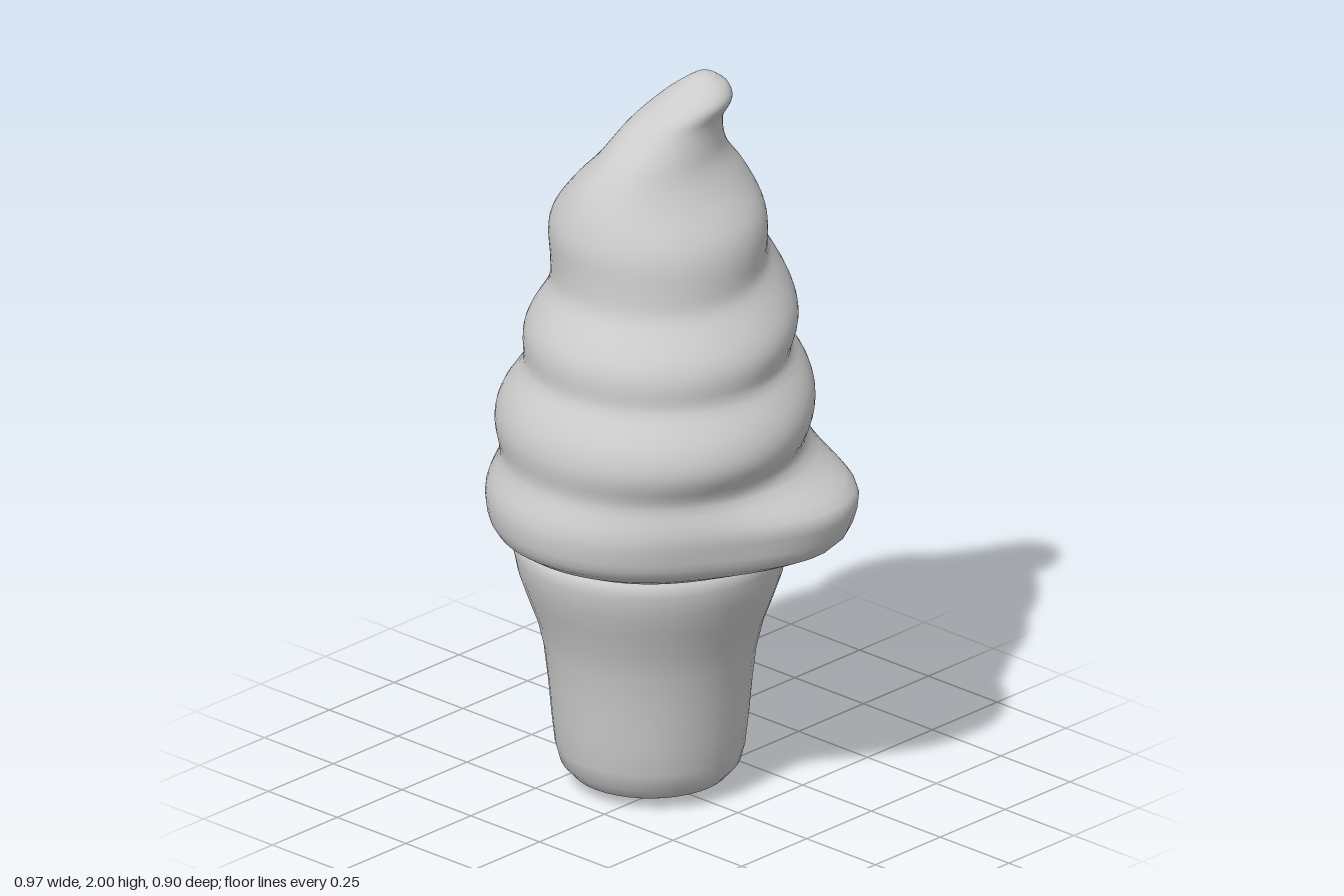
import * as THREE from 'three';

const material = new THREE.MeshStandardMaterial({ color: 0xcccccc, side: THREE.DoubleSide });
const { smoothstep, clamp } = THREE.MathUtils;

// Smooth interpolation of column c in rows [y, a, b, ...]
function sample(rows, y, c) {
  const last = rows.length - 1;
  let i = 0;
  while (i < last - 1 && y > rows[i + 1][0]) i++;
  const slope = (k) => {
    const a = rows[Math.max(k - 1, 0)], b = rows[Math.min(k + 1, last)];
    return (b[c] - a[c]) / (b[0] - a[0]);
  };
  const p = rows[i], q = rows[i + 1], h = q[0] - p[0];
  const t = clamp((y - p[0]) / h, 0, 1), s = 1 - t;
  return p[c] * (1 + 2 * t) * s * s + slope(i) * h * t * s * s
    + q[c] * (1 + 2 * s) * t * t - slope(i + 1) * h * s * t * t;
}

// Envelope of the swirl: y, -x side, +x side, front, back
const envelope = [
  [0.72, -0.37, 0.28, 0.35, -0.33],
  [0.76, -0.45, 0.33, 0.43, -0.385],
  [0.84, -0.485, 0.355, 0.455, -0.43],
  [0.95, -0.487, 0.38, 0.445, -0.435],
  [1.07, -0.48, 0.4, 0.425, -0.415],
  [1.3, -0.42, 0.325, 0.345, -0.4],
  [1.5, -0.385, 0.24, 0.265, -0.385],
  [1.62, -0.37, 0.19, 0.24, -0.365],
  [1.72, -0.3, 0.115, 0.205, -0.315],
  [1.8, -0.22, 0.065, 0.14, -0.255],
  [1.88, -0.175, 0.045, 0.045, -0.235],
  [1.94, -0.13, 0.06, -0.05, -0.237],
  [1.975, -0.09, 0.035, -0.11, -0.225],
  [1.995, -0.06, -0.005, -0.15, -0.2],
];

// Height to number of turns of the spiral groove
const turns = [[0.7, -1], [0.95, 0], [1.2, 1], [1.42, 2], [1.76, 3], [2.1, 4]];

// Spiral ice cream: stacked cross-sections with a helical groove and a tail
function swirlGeometry() {
  const sides = 64, steps = 90;
  const rings = [[0.735, 0.02], [0.73, 0.5], [0.722, 0.85]];
  for (let i = 0; i <= steps; i++) rings.push([0.72 + 1.275 * Math.sin((i / steps) * Math.PI / 2 * 0.999), 1]);
  rings.push([2, 0.02]);
  const position = [], index = [];
  rings.forEach(([y, scale], i) => {
    const [l, r, f, b] = [1, 2, 3, 4].map((c) => sample(envelope, clamp(y, 0.72, 1.995), c));
    const cx = (l + r) / 2, cz = (f + b) / 2, rx = (r - l) / 2, rz = (f - b) / 2;
    const turn = sample(turns, y, 1);
    const depth = 0.045 * (1 - smoothstep(y, 1.6, 1.84)) * smoothstep(y, 0.72, 0.8);
    for (let j = 0; j < sides; j++) {
      const u = j / sides, a = u * Math.PI * 2;
      // The groove runs nearly level in front and climbs at the back
      const phase = turn - (u - 0.17 * (1 - Math.cos(a)));
      const lower = phase < -1.5 ? 0 : phase < -0.5 ? smoothstep(u, 0.7, 0.97) : 1;
      const groove = depth * (1 - 0.25 * Math.sin(a)) * lower
        * (1 - Math.sqrt((Math.sin(Math.PI * phase) ** 2 + 0.06) / 1.06));
      // Blunt end of the coil, spreading further towards the back
      const spread = u < 0.56 ? 0.085 : 0.1;
      const tail = 0.148 * Math.exp(-(((u - 0.56) / spread) ** 2) - ((y - 0.83) / 0.112) ** 4);
      const add = tail - groove;
      position.push(cx - Math.cos(a) * (rx + add) * scale, y, cz + Math.sin(a) * (rz + add) * scale);
      if (i < rings.length - 1) {
        const p = i * sides + j, q = i * sides + (j + 1) % sides;
        index.push(p, q, q + sides, p, q + sides, p + sides);
      }
    }
  });
  const geometry = new THREE.BufferGeometry();
  geometry.setAttribute('position', new THREE.Float32BufferAttribute(position, 3));
  geometry.setIndex(index);
  geometry.computeVertexNormals();
  return geometry;
}

// Flared cup with a rounded foot and rim
function cupGeometry() {
  const profile = [
    [0, 0.005], [0.1, 0.008], [0.165, 0.018], [0.21, 0.038], [0.24, 0.072], [0.253, 0.12], [0.262, 0.2],
    [0.271, 0.3], [0.283, 0.4], [0.302, 0.48], [0.328, 0.55], [0.352, 0.62],
    [0.364, 0.68], [0.357, 0.712], [0.33, 0.735], [0.27, 0.742], [0, 0.745],
  ].map(([x, y]) => new THREE.Vector2(x, y));
  return new THREE.LatheGeometry(profile, 40);
}

export function createModel() {
  const group = new THREE.Group();
  group.name = 'softServeCone';

  const cup = new THREE.Mesh(cupGeometry(), material);
  cup.name = 'waferCup';
  cup.position.set(-0.075, -0.005, -0.007);

  const swirl = new THREE.Mesh(swirlGeometry(), material);
  swirl.name = 'iceCreamSwirl';

  group.add(cup, swirl);
  return group;
}
